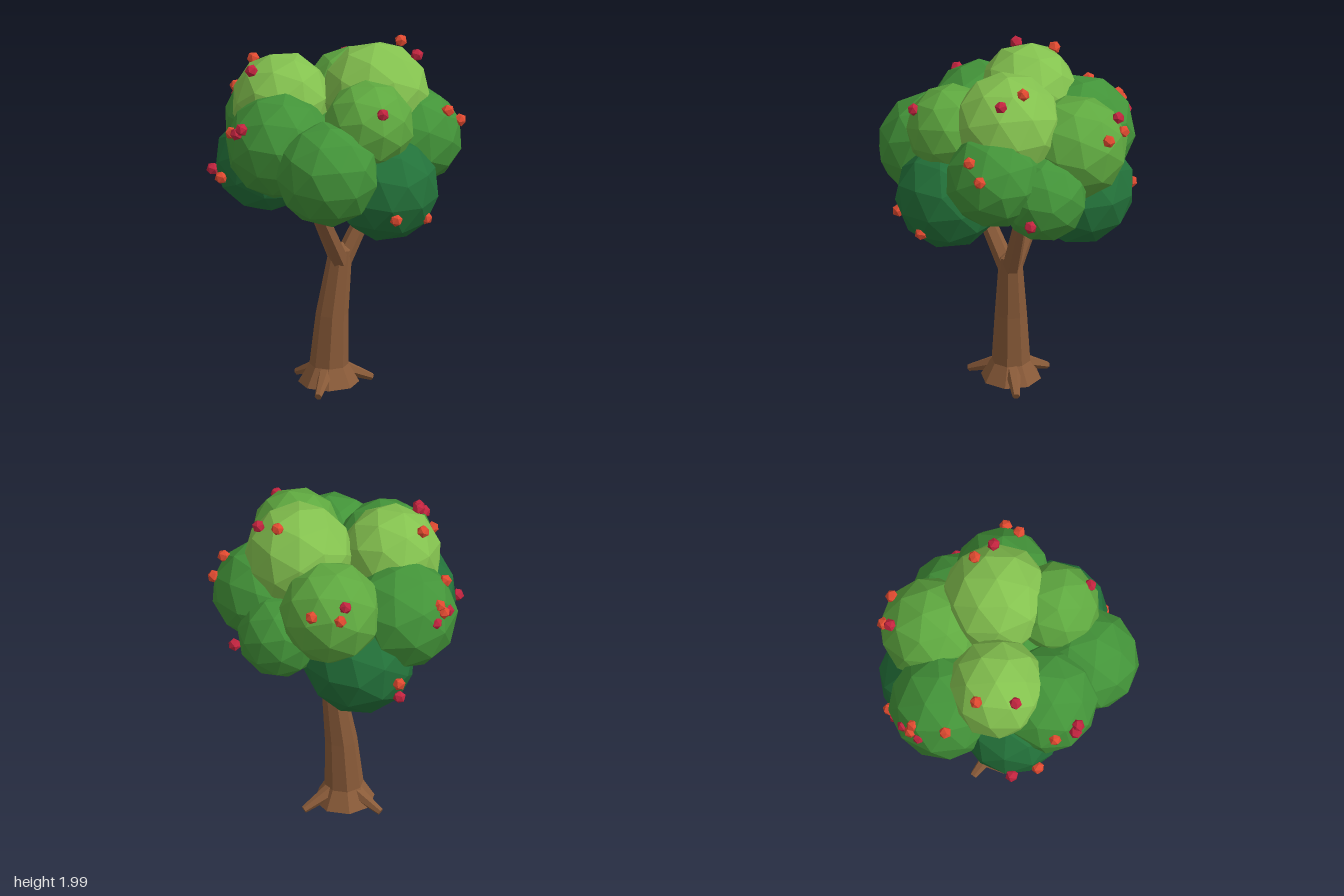
import * as THREE from 'three';

const material = (color) => new THREE.MeshStandardMaterial({ color, flatShading: true });
const V = (x, y, z) => new THREE.Vector3(x, y, z);

function addMesh(parent, name, geometry, mat) {
  const mesh = new THREE.Mesh(geometry, mat);
  mesh.name = name;
  parent.add(mesh);
  return mesh;
}

// Tapered faceted limb running from a to b
function addLimb(parent, name, a, b, rA, rB, mat) {
  const limb = addMesh(parent, name, new THREE.CylinderGeometry(rB, rA, a.distanceTo(b), 6), mat);
  limb.position.copy(a).add(b).multiplyScalar(0.5);
  limb.quaternion.setFromUnitVectors(V(0, 1, 0), b.clone().sub(a).normalize());
}

// Eight-sided trunk with flared foot, leaning along a gentle curve
function trunkGeometry() {
  const profile = [[0, 0.03], [0.168, 0.03], [0.108, 0.135], [0.09, 0.43], [0.064, 0.8], [0, 0.84]];
  const geometry = new THREE.LatheGeometry(profile.map(([r, y]) => new THREE.Vector2(r, y)), 8, Math.PI / 8);
  const pos = geometry.attributes.position;
  for (let i = 0; i < pos.count; i++) {
    const t = pos.getY(i) / 0.8;
    pos.setX(i, pos.getX(i) - 0.04 + 0.065 * t * t);
    pos.setZ(i, pos.getZ(i) + 0.015 * t * t);
  }
  return geometry;
}

export function createModel() {
  const tree = new THREE.Group();
  tree.name = 'fruitTree';
  const bark = material(0x8a5b39);

  addMesh(tree, 'trunk', trunkGeometry(), bark);

  // Three roots and three branches
  const roots = new THREE.Group();
  roots.name = 'roots';
  for (const [x, z] of [[0.21, 0.02], [-0.19, 0.205], [-0.135, -0.222]]) {
    addLimb(roots, 'root', V(-0.035 + (x + 0.035) * 0.3, 0.105, z * 0.3), V(x, 0.027, z), 0.044, 0.02, bark);
  }
  const branches = new THREE.Group();
  branches.name = 'branches';
  for (const [x, y, z] of [[0.27, 1.16, 0.0], [-0.23, 1.2, 0.21], [-0.11, 1.17, -0.21]]) {
    addLimb(branches, 'branch', V(0.025 + x * 0.06, 0.74, 0.015 + z * 0.1), V(x, y, z), 0.052, 0.037, bark);
  }
  tree.add(roots, branches);

  // Leaf clumps: x, y, z, radius, shade
  const greens = [0x23723a, 0x439439, 0x5fa940, 0x84c24f].map(material);
  const clumps = [
    [0.21, 1.688, 0.07, 0.305, 3],
    [-0.26, 1.65, -0.135, 0.28, 3],
    [0.052, 1.625, 0.35, 0.253, 2],
    [0.24, 1.545, -0.31, 0.288, 2],
    [-0.225, 1.405, 0.42, 0.292, 1],
    [-0.375, 1.49, 0.1, 0.298, 1],
    [0.39, 1.468, 0.18, 0.273, 1],
    [0.43, 1.343, -0.09, 0.242, 1],
    [-0.16, 1.448, -0.41, 0.308, 1],
    [0.135, 1.265, 0.385, 0.297, 0],
    [-0.375, 1.335, -0.1, 0.283, 0],
    [0.085, 1.215, -0.35, 0.315, 0],
    [-0.05, 1.4, 0.08, 0.24, 1],
  ];
  const crown = new THREE.Group();
  crown.name = 'crown';
  clumps.forEach(([x, y, z, r, shade], i) => {
    const clump = addMesh(crown, 'leafClump', new THREE.IcosahedronGeometry(r, 1), greens[shade]);
    clump.position.set(x, y, z);
    clump.rotation.set(i * 1.3, i * 2.1, i * 0.7);
  });
  tree.add(crown);

  // Small fruit scattered over the crown
  const fruitSets = [
    ['redFruit', 0xe04a30, [
      [-0.38, 1.64, -0.5], [-0.27, 1.56, -0.66], [-0.255, 1.6, -0.64], [0.02, 1.19, -0.66],
      [0.335, 1.66, -0.555], [0.457, 1.67, -0.45], [-0.36, 1.86, -0.305], [-0.655, 1.285, -0.065],
      [-0.64, 1.58, 0.045], [0.385, 1.965, 0.015], [0.525, 1.645, 0.345], [0.615, 1.565, 0.305],
      [0.085, 1.17, 0.655], [0.3, 1.125, 0.57],
    ]],
    ['crimsonFruit', 0xc2243f, [
      [-0.315, 1.54, -0.63], [-0.21, 1.52, -0.675], [0.29, 1.725, -0.535], [-0.455, 1.865, -0.11],
      [-0.64, 1.285, -0.215], [-0.66, 1.615, 0.16], [-0.64, 1.645, 0.185], [0.425, 1.92, 0.148],
      [0.655, 1.285, 0.028], [0.045, 1.76, 0.56], [0, 1.08, -0.63],
    ]],
  ];
  const fruit = new THREE.Group();
  fruit.name = 'fruit';
  const fruitGeometry = new THREE.IcosahedronGeometry(0.037, 0);
  for (const [name, color, spots] of fruitSets) {
    const skin = material(color);
    spots.forEach((spot, i) => {
      const berry = addMesh(fruit, name, fruitGeometry, skin);
      berry.position.set(...spot);
      berry.rotation.set(i, i * 2, 0);
    });
  }
  tree.add(fruit);
  return tree;
}
